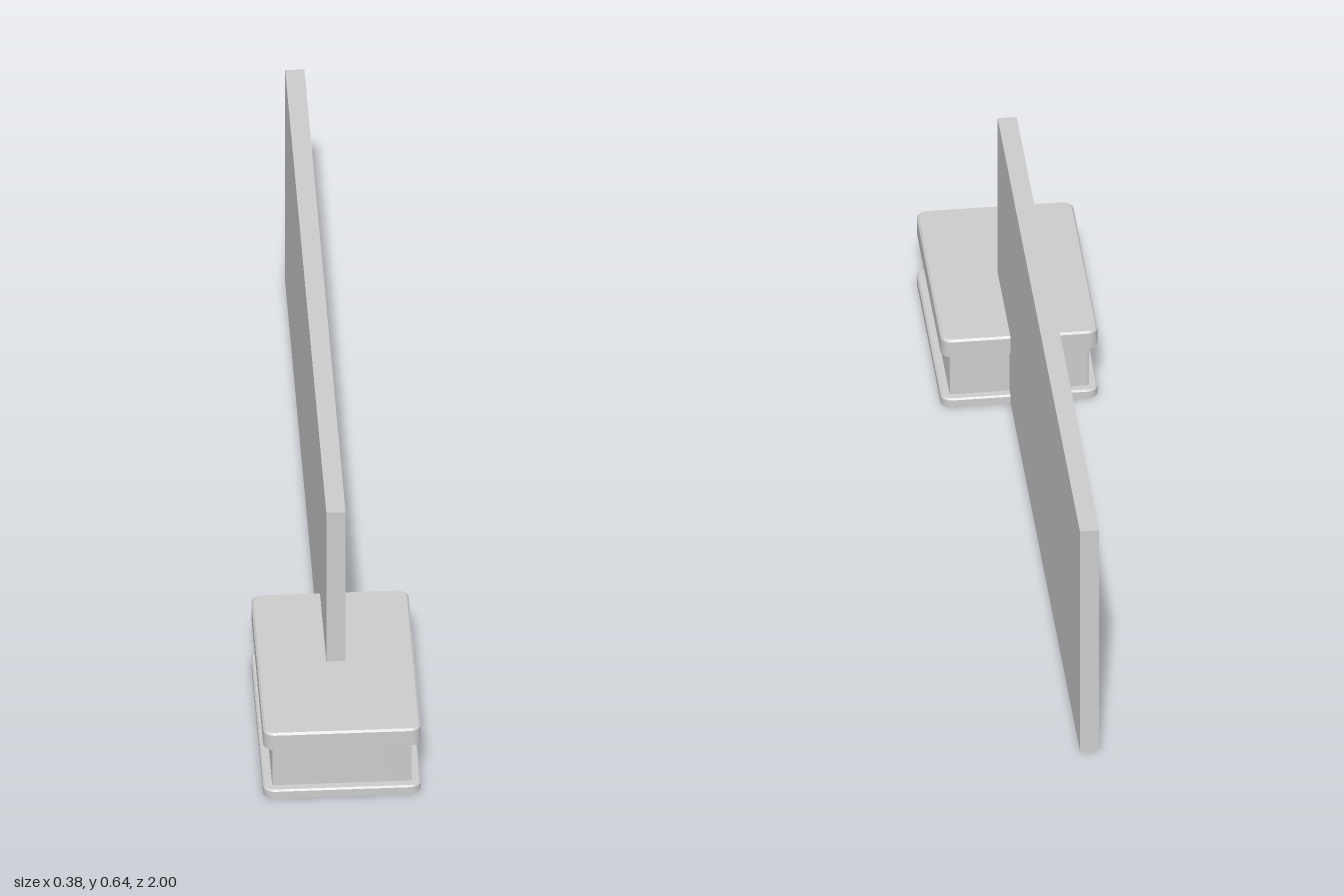
import * as THREE from 'three';
import { toCreasedNormals } from 'three/addons/utils/BufferGeometryUtils.js';

const material = new THREE.MeshStandardMaterial({ color: 0xcccccc });
const CENTRE_Z = 0.727;

// Rounded rectangle outline, counter-clockwise seen from above
function outline(w, d, r, y, inset) {
  const points = [];
  const steps = 4;
  const corners = [[1, 1], [-1, 1], [-1, -1], [1, -1]];
  corners.forEach(([sx, sz], i) => {
    for (let k = 0; k <= steps; k++) {
      const a = (i + k / steps) * Math.PI / 2;
      points.push(new THREE.Vector3(
        sx * (w / 2 - r) + (r - inset) * Math.cos(a), y,
        sz * (d / 2 - r) + (r - inset) * Math.sin(a)));
    }
  });
  return points;
}

// Rounded slab with an optional chamfer around its top edge
function slab(name, w, d, r, y0, y1, bevel) {
  const rings = [outline(w, d, r, y0, 0), outline(w, d, r, y1 - bevel, 0)];
  if (bevel > 0) rings.push(outline(w, d, r, y1, bevel));
  const n = rings[0].length;
  const positions = [];
  const tri = (...pts) => pts.forEach(p => positions.push(p.x, p.y, p.z));
  const low = new THREE.Vector3(0, y0, 0);
  const high = new THREE.Vector3(0, y1, 0);
  const top = rings[rings.length - 1];
  for (let i = 0; i < n; i++) {
    const j = (i + 1) % n;
    for (let s = 0; s < rings.length - 1; s++) {
      const a = rings[s], b = rings[s + 1];
      tri(a[i], b[i], b[j]);
      tri(a[i], b[j], a[j]);
    }
    tri(low, rings[0][i], rings[0][j]);
    tri(high, top[j], top[i]);
  }
  const geometry = new THREE.BufferGeometry();
  geometry.setAttribute('position', new THREE.Float32BufferAttribute(positions, 3));
  const mesh = new THREE.Mesh(toCreasedNormals(geometry, 0.5), material);
  mesh.name = name;
  mesh.position.z = CENTRE_Z;
  return mesh;
}

export function createModel() {
  const group = new THREE.Group();
  group.name = 'wallWithPier';

  // Pier: base plate, recessed body and overhanging cap
  group.add(slab('basePlate', 0.376, 0.546, 0.025, 0, 0.024, 0.004));
  group.add(slab('pierBody', 0.333, 0.504, 0.004, 0.022, 0.148, 0));
  group.add(slab('capPlate', 0.376, 0.546, 0.025, 0.146, 0.194, 0.005));

  // Thin upright wall running back from the middle of the pier
  const y0 = 0.003, y1 = 0.642, z0 = -1, z1 = 0.725;
  const wall = new THREE.Mesh(new THREE.BoxGeometry(0.046, y1 - y0, z1 - z0), material);
  wall.name = 'wallPanel';
  wall.position.set(0, (y0 + y1) / 2, (z0 + z1) / 2);
  group.add(wall);

  return group;
}
